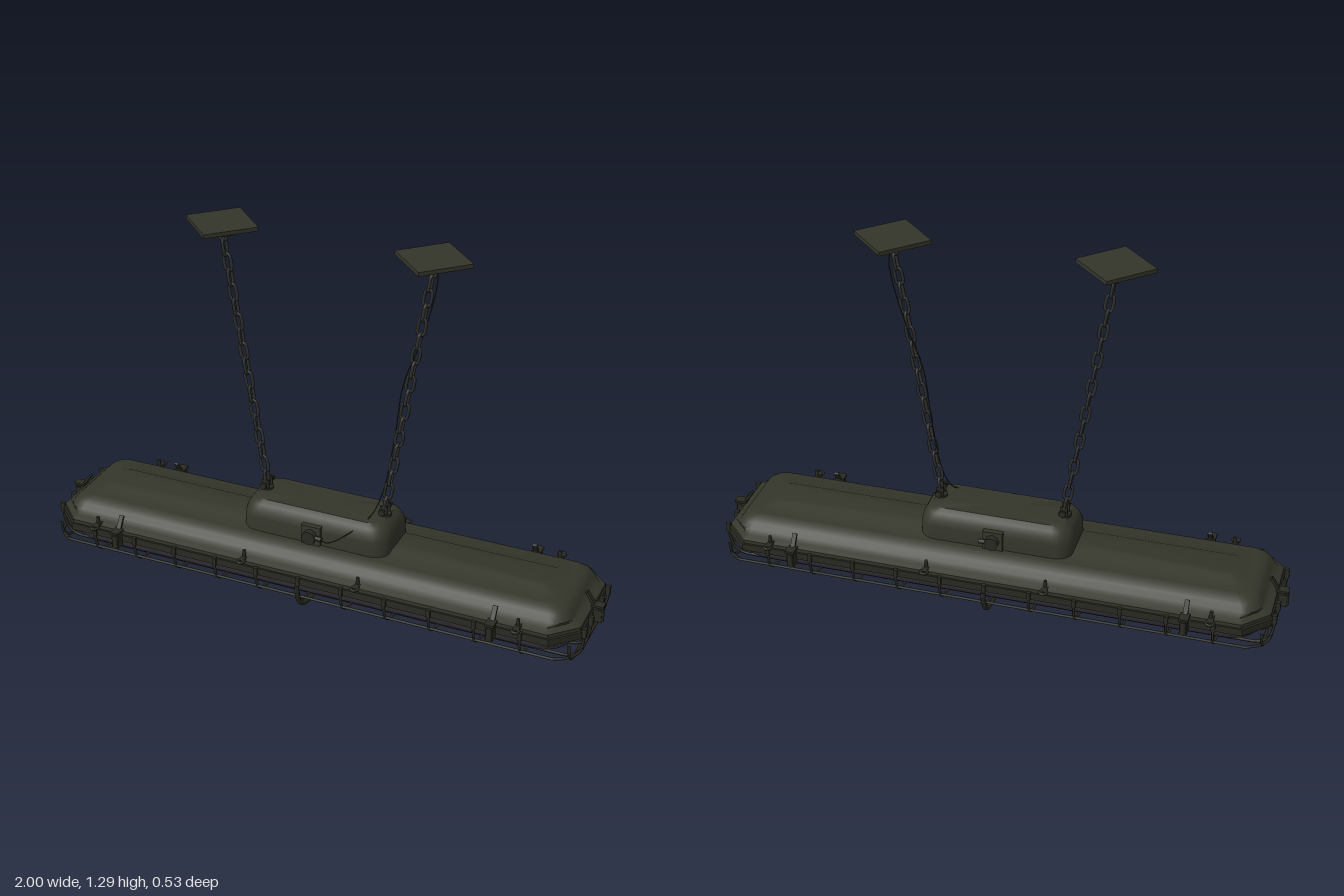
import * as THREE from 'three';
import { toCreasedNormals } from 'three/addons/utils/BufferGeometryUtils.js';

const V = (x, y, z) => new THREE.Vector3(x, y, z);
const SEG = 6;

// Rectangle outline with rounded (or straight-cut) corners at height y
function ring(hx, hz, r, y, chamfer = false) {
  const pts = [];
  for (let q = 0; q < 4; q++) {
    const sx = q === 0 || q === 3 ? 1 : -1, sz = q < 2 ? 1 : -1;
    for (let i = 0; i <= SEG; i++) {
      const t = i / SEG, a = (q + t) * Math.PI / 2;
      let c = Math.cos(a), s = Math.sin(a);
      if (chamfer) {
        const k = Math.abs(c) + Math.abs(s);
        c /= k; s /= k;
      }
      pts.push(V(sx * (hx - r) + r * c, y, sz * (hz - r) + r * s));
    }
  }
  return pts;
}

// Closed solid through a stack of outlines, listed from bottom to top
function loft(rings, crease = 0.6) {
  const pos = [], idx = [], n = rings[0].length;
  rings.forEach(r => r.forEach(p => pos.push(p.x, p.y, p.z)));
  const last = (rings.length - 1) * n, bottom = rings.length * n;
  pos.push(0, rings[0][0].y, 0, 0, rings[rings.length - 1][0].y, 0);
  for (let i = 0; i < n; i++) {
    const j = (i + 1) % n;
    for (let k = 0; k < last; k += n) {
      idx.push(k + i, k + n + i, k + j, k + j, k + n + i, k + n + j);
    }
    idx.push(bottom, i, j, bottom + 1, last + j, last + i);
  }
  const g = new THREE.BufferGeometry();
  g.setAttribute('position', new THREE.Float32BufferAttribute(pos, 3));
  g.setIndex(idx);
  return toCreasedNormals(g, crease);
}

// U-shaped wire hanging from the rim, across x or z
function hoop(half, top, low, r, wire, along, segs) {
  const P = (u, y) => along === 'x' ? V(u, y, 0) : V(0, y, u);
  const path = new THREE.CurvePath();
  path.add(new THREE.QuadraticBezierCurve3(P(-half, top), P(-half, low), P(r - half, low)));
  path.add(new THREE.LineCurve3(P(r - half, low), P(half - r, low)));
  path.add(new THREE.QuadraticBezierCurve3(P(half - r, low), P(half, low), P(half, top)));
  return new THREE.TubeGeometry(path, segs, wire, 6);
}

export function createModel() {
  const model = new THREE.Group();
  const mat = (name, color) => {
    const m = new THREE.MeshStandardMaterial({ color });
    m.name = name;
    return m;
  };
  const paint = mat('olive paint', 0x34352a);
  const iron = mat('dark cage iron', 0x2b2b23);
  const steel = mat('chain steel', 0x30302f);
  const glass = mat('smoky lens', 0x413d45);

  const add = (parent, name, geo, material, x = 0, y = 0, z = 0) => {
    const m = new THREE.Mesh(geo, material);
    m.name = name;
    m.position.set(x, y, z);
    parent.add(m);
    return m;
  };
  const box = (w, h, d) => new THREE.BoxGeometry(w, h, d);
  const cyl = (r, h, n = 14) => new THREE.CylinderGeometry(r, r, h, n);

  // Housing with flange, sloping roof and raised spine
  add(model, 'housing', loft([
    ring(0.945, 0.215, 0.08, 0.14, true),
    ring(0.96, 0.225, 0.085, 0.145, true),
    ring(0.96, 0.225, 0.085, 0.158, true),
    ring(0.945, 0.205, 0.08, 0.168, true),
    ring(0.928, 0.182, 0.06, 0.178),
    ring(0.915, 0.168, 0.055, 0.198),
    ring(0.9, 0.152, 0.05, 0.211),
    ring(0.875, 0.13, 0.045, 0.217),
    ring(0.85, 0.08, 0.03, 0.219),
    ring(0.83, 0.06, 0.03, 0.23),
  ]), paint);

  // Gear box on the roof
  add(model, 'gearBox', loft([
    ring(0.272, 0.116, 0.06, 0.2),
    ring(0.27, 0.114, 0.06, 0.27),
    ring(0.265, 0.108, 0.06, 0.292),
    ring(0.253, 0.096, 0.055, 0.312),
    ring(0.235, 0.078, 0.045, 0.325),
  ]), paint);

  // Lens bowl
  add(model, 'lens', loft([
    ring(0.85, 0.1, 0.06, 0.042),
    ring(0.89, 0.145, 0.08, 0.048),
    ring(0.92, 0.18, 0.1, 0.064),
    ring(0.938, 0.202, 0.11, 0.09),
    ring(0.942, 0.208, 0.11, 0.125),
  ], 0.9), glass);

  // Cage: rim band, cross hoops, long wires, mid wire
  const cage = new THREE.Group();
  cage.name = 'cage';
  model.add(cage);
  add(cage, 'rimBand', loft([
    ring(0.965, 0.23, 0.085, 0.118, true),
    ring(0.965, 0.23, 0.085, 0.144, true),
  ]), iron);
  const cross = hoop(0.232, 0.122, 0.032, 0.1, 0.005, 'z', 32);
  for (let i = -6; i <= 6; i++) {
    const x = i * 0.157;
    const end = Math.abs(i) === 6;
    add(cage, 'crossHoop', end ? hoop(0.2, 0.122, 0.034, 0.09, 0.005, 'z', 32) : cross, iron, x);
    if (!end) for (const s of [-1, 1]) add(cage, 'hoopFoot', box(0.014, 0.03, 0.012), iron, x, 0.133, s * 0.231);
  }
  add(cage, 'centreHoop', hoop(0.24, 0.122, 0.009, 0.12, 0.009, 'z', 36), iron);
  const long = hoop(0.972, 0.122, 0.034, 0.07, 0.005, 'x', 100);
  for (const z of [-0.135, -0.06, 0.06, 0.135]) {
    add(cage, 'longWire', long, iron, 0, 0, z);
    for (const s of [-1, 1]) add(cage, 'wireFoot', box(0.016, 0.035, 0.014), iron, s * 0.972, 0.138, z);
  }
  const loop = new THREE.CatmullRomCurve3(ring(0.965, 0.22, 0.09, 0.068), true, 'catmullrom', 0.1);
  add(cage, 'midWire', new THREE.TubeGeometry(loop, 240, 0.005, 6, true), iron);

  // Latches and eyes round the flange, built facing +z and turned into place
  const eyeGeo = new THREE.TorusGeometry(0.012, 0.005, 6, 14).rotateX(Math.PI / 2);
  function clamp(kind, x, z, turn) {
    const g = new THREE.Group();
    g.name = kind;
    g.position.set(x, 0, z);
    g.rotation.y = turn;
    model.add(g);
    if (kind === 'latch') {
      add(g, 'latchBody', box(0.026, 0.045, 0.03), iron, 0, 0.128, 0.015);
      add(g, 'latchPin', cyl(0.011, 0.05), iron, 0, 0.13, 0.026);
      add(g, 'latchCap', box(0.032, 0.008, 0.042), iron, 0, 0.164, 0.015);
      const lever = add(g, 'latchLever', box(0.016, 0.055, 0.009), iron, 0, 0.183, -0.012);
      lever.rotation.x = -0.6;
    } else {
      add(g, 'eyeArm', box(0.02, 0.01, 0.05), iron, 0, 0.162, 0);
      add(g, 'eyeRing', eyeGeo, iron, 0, 0.162, 0.022);
      add(g, 'eyeBolt', cyl(0.006, 0.06, 8), iron, 0, 0.162, -0.005);
    }
  }
  for (const s of [-1, 1]) {
    const turn = s > 0 ? 0 : Math.PI;
    for (const m of [-1, 1]) {
      clamp('latch', m * 0.69, s * 0.228, turn);
      clamp('eye', m * 0.775, s * 0.228, turn);
      clamp('eye', m * 0.21, s * 0.215, turn);
    }
    clamp('latch', s * 0.962, 0, s * Math.PI / 2);
  }

  // Cable glands on the gear box
  for (const s of [-1, 1]) {
    add(model, 'glandPlate', box(0.07, 0.07, 0.02), paint, 0, 0.255, s * 0.117);
    add(model, 'glandNut', cyl(0.025, 0.03, 8).rotateX(Math.PI / 2), iron, 0, 0.255, s * 0.133);
    add(model, 'glandCap', cyl(0.008, 0.04).rotateZ(Math.PI / 2), iron, 0.025, 0.255, s * 0.136);
  }

  // Chains with ceiling plates
  const oval = [];
  for (let i = 0; i < 16; i++) {
    const a = i / 16 * Math.PI * 2;
    oval.push(V(0.0125 * Math.cos(a), 0.0125 * Math.sin(a) + (i < 8 ? 0.0165 : -0.0165), 0));
  }
  const link = new THREE.TubeGeometry(new THREE.CatmullRomCurve3(oval, true), 28, 0.0055, 7, true);
  for (const s of [-1, 1]) {
    const chain = new THREE.Group();
    chain.name = s > 0 ? 'leftChain' : 'rightChain';
    model.add(chain);
    for (let i = 0; i < 18; i++) {
      const y = 1.252 - i * 0.0522;
      const m = add(chain, 'link', link, steel, s * (0.222 + (y - 0.365) * 0.165), y, 0);
      m.rotation.set(0, i % 2 ? Math.PI / 2 : 0, -s * 0.163, 'ZYX');
    }
    const lugX = s * 0.22;
    add(chain, 'lugBase', cyl(0.022, 0.012), iron, lugX, 0.326, 0);
    for (const z of [-0.014, 0.014]) add(chain, 'lugCheek', box(0.026, 0.036, 0.006), iron, lugX, 0.344, z);
    add(chain, 'lugPin', cyl(0.006, 0.074, 10).rotateX(Math.PI / 2), iron, lugX, 0.347, 0);
    for (const z of [-0.034, 0.034]) add(chain, 'lugNut', cyl(0.012, 0.008, 6).rotateX(Math.PI / 2), iron, lugX, 0.347, z);
    const plate = add(chain, 'ceilingPlate', box(0.186, 0.014, 0.186), paint, s * 0.368, 1.282, 0);
    plate.rotation.y = Math.PI / 4;
    add(chain, 'ceilingBoss', cyl(0.068, 0.014, 28), paint, s * 0.368, 1.269, 0);
  }

  // Thin power cable from the front gland up along one chain
  const cable = new THREE.CatmullRomCurve3([
    V(0.04, 0.255, 0.14), V(0.08, 0.262, 0.155), V(0.15, 0.3, 0.1), V(0.19, 0.34, 0.04), V(0.215, 0.42, 0.005),
    V(0.245, 0.62, -0.012), V(0.27, 0.82, -0.015), V(0.325, 0.98, -0.018), V(0.365, 1.15, -0.03),
    V(0.372, 1.22, -0.03), V(0.367, 1.265, -0.005),
  ]);
  add(model, 'powerCable', new THREE.TubeGeometry(cable, 70, 0.002, 5), iron);

  return model;
}
